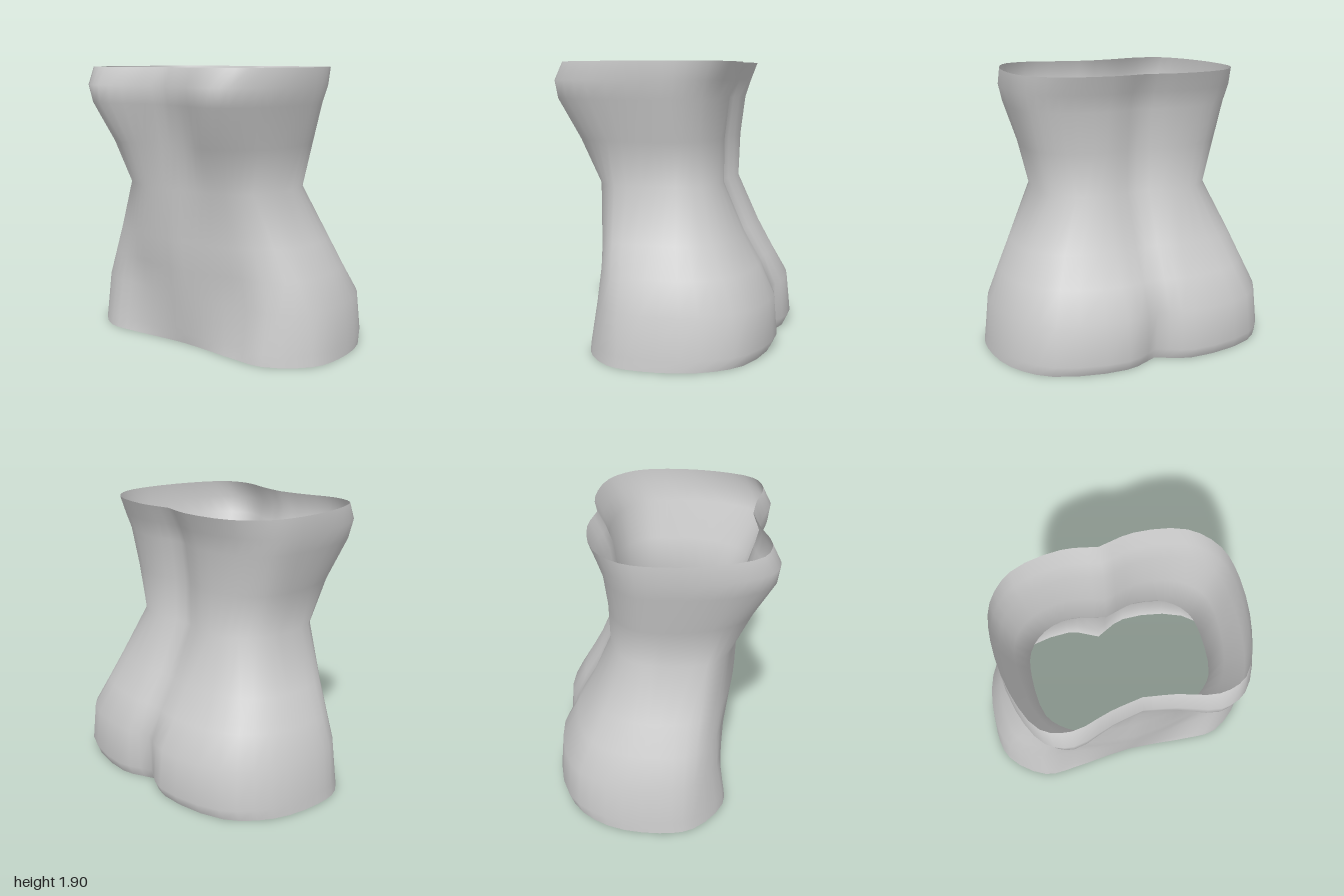
import * as THREE from 'three';

// Body measurements from hem to rim; corner and side are x,z points on the front flank
const SECTIONS = [
  { y: 0.005, width: 1, front: 0.405, lobe: [0.46, 0.44], corner: [0.7, 0.435], side: [0.95, 0.23], back: -0.6, backLobe: -0.7 },
  { y: 0.08, width: 0.994, front: 0.42, lobe: [0.46, 0.425], corner: [0.69, 0.43], side: [0.94, 0.23], back: -0.63, backLobe: -0.737 },
  { y: 0.35, width: 0.97, front: 0.46, lobe: [0.45, 0.4], corner: [0.69, 0.385], side: [0.91, 0.23], back: -0.645, backLobe: -0.715 },
  { y: 0.55, width: 0.88, front: 0.485, lobe: [0.43, 0.42], corner: [0.64, 0.375], side: [0.83, 0.24], back: -0.575, backLobe: -0.605 },
  { y: 0.75, width: 0.79, front: 0.51, lobe: [0.42, 0.445], corner: [0.58, 0.38], side: [0.74, 0.26], back: -0.455, backLobe: -0.5 },
  { y: 1.1, width: 0.61, front: 0.52, lobe: [0.36, 0.47], corner: [0.47, 0.42], side: [0.58, 0.3], back: -0.3, backLobe: -0.355 },
  { y: 1.4, width: 0.69, front: 0.54, lobe: [0.38, 0.6], corner: [0.54, 0.52], side: [0.65, 0.32], back: -0.3, backLobe: -0.36 },
  { y: 1.67, width: 0.755, front: 0.6, lobe: [0.46, 0.725], corner: [0.6, 0.66], side: [0.72, 0.42], back: -0.335, backLobe: -0.39 },
  { y: 1.79, width: 0.788, front: 0.63, lobe: [0.46, 0.74], corner: [0.62, 0.68], side: [0.745, 0.43], back: -0.38, backLobe: -0.43 },
  { y: 1.91, width: 0.79, front: 0.585, lobe: [0.45, 0.68], corner: [0.63, 0.62], side: [0.75, 0.36], back: -0.44, backLobe: -0.48 },
];
const HALF = 27; // segments around each half

// Half outline from centre front, around the side, to centre back,
// mirrored so the front and back centre folds stay crisp
function ring({ y, width, front, lobe, corner, side, back, backLobe }) {
  const points = [
    [0, front],
    [0.2, THREE.MathUtils.lerp(front, lobe[1], 0.35)],
    lobe,
    corner,
    side,
    [width, 0],
    [0.94 * width, 0.5 * backLobe],
    [0.73 * width, 0.86 * backLobe],
    [0.24, backLobe],
    [0, back],
  ].map(([x, z]) => new THREE.Vector3(x, y, z));
  const half = new THREE.CatmullRomCurve3(points).getPoints(HALF);
  const mirrored = half.slice(1, -1).reverse().map(p => new THREE.Vector3(-p.x, p.y, p.z));
  return [...half, ...mirrored];
}

// Skin neighbouring rings into an open tube
function loft(rings) {
  const n = rings[0].length, index = [];
  for (let r = 0; r < rings.length - 1; r++) {
    for (let i = 0; i < n; i++) {
      const a = r * n + i, b = r * n + (i + 1) % n;
      index.push(a, b, b + n, a, b + n, a + n);
    }
  }
  const geometry = new THREE.BufferGeometry().setFromPoints(rings.flat());
  geometry.setIndex(index);
  geometry.computeVertexNormals();
  return geometry;
}

export function createModel() {
  const group = new THREE.Group();
  group.name = 'corset';
  const fabric = new THREE.MeshStandardMaterial({ color: 0xcccccc, side: THREE.DoubleSide });
  fabric.name = 'light grey fabric';

  // Single thin garment shell, open at hem and rim
  const shell = new THREE.Mesh(loft(SECTIONS.map(ring)), fabric);
  shell.name = 'corsetShell';
  group.add(shell);
  return group;
}
